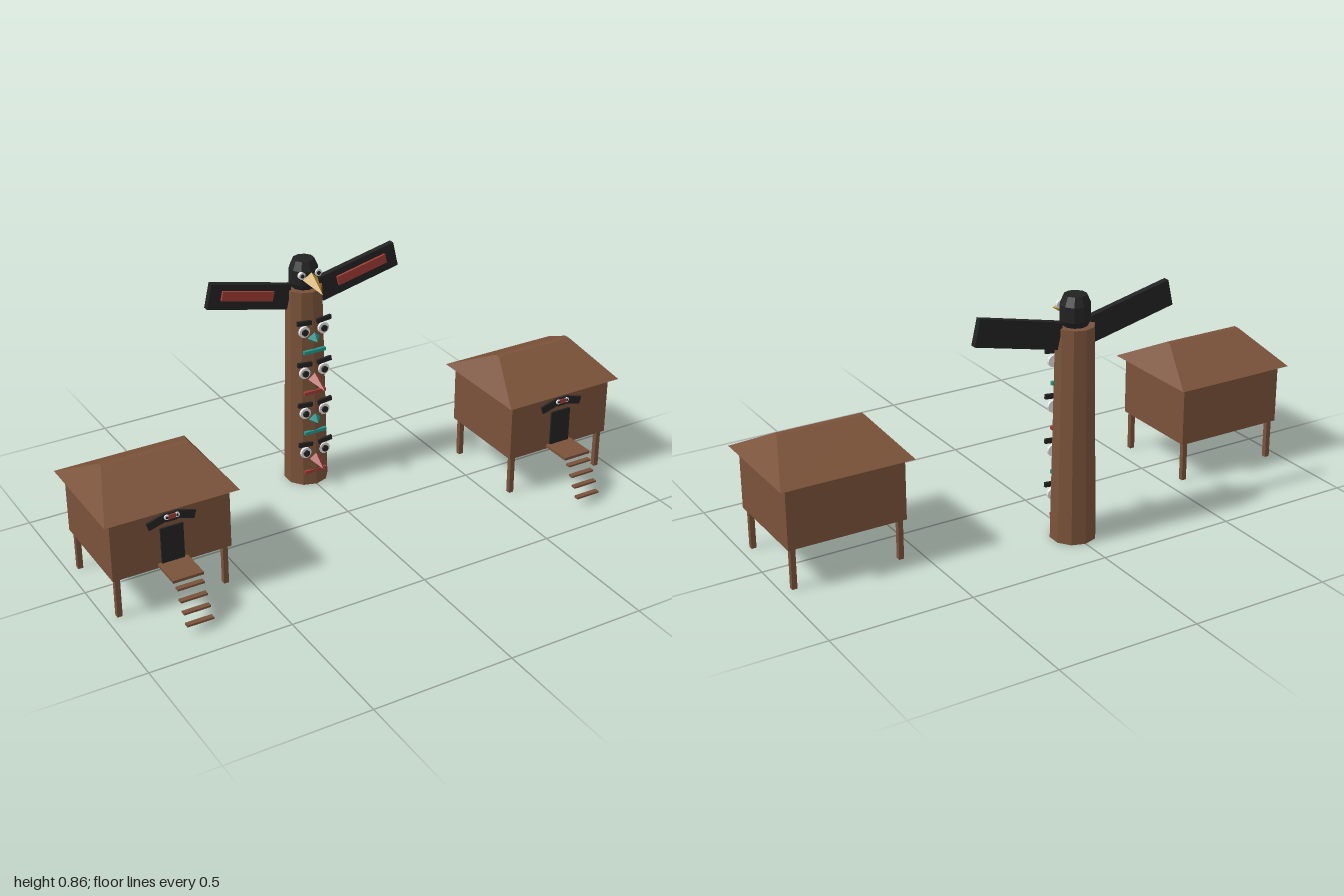
import * as THREE from 'three';

const mat = (name, color) => {
  const m = new THREE.MeshStandardMaterial({ color, flatShading: true });
  m.name = name;
  return m;
};

export function createModel() {
  const wood = mat('wood', 0x7a5239);
  const black = mat('black', 0x222222);
  const red = mat('red', 0xa03c36);
  const teal = mat('teal', 0x1f9a8f);
  const white = mat('white', 0xe4e4e4);
  const yellow = mat('yellow', 0xc49a38);

  const add = (parent, name, geo, material, x, y, z, rz = 0) => {
    const m = new THREE.Mesh(geo, material);
    m.name = name;
    m.position.set(x, y, z);
    m.rotation.z = rz;
    parent.add(m);
    return m;
  };
  const box = (parent, name, material, w, h, d, x, y, z, rz) =>
    add(parent, name, new THREE.BoxGeometry(w, h, d), material, x, y, z, rz);
  const group = (parent, name) => {
    const g = new THREE.Group();
    g.name = name;
    parent.add(g);
    return g;
  };

  // Round plate facing the front
  const disc = (parent, name, material, r, depth, x, y, z) => {
    const geo = new THREE.CylinderGeometry(r, r, depth, 12).rotateX(Math.PI / 2);
    return add(parent, name, geo, material, x, y, z);
  };

  // Four-sided beak from a base centre to a tip, with a ridge on top
  const beak = (parent, material, r, baseY, baseZ, tipY, tipZ) => {
    const len = Math.hypot(tipY - baseY, tipZ - baseZ);
    const geo = new THREE.ConeGeometry(r, len, 4).rotateX(Math.PI / 2);
    const m = add(parent, 'beak', geo, material, 0, (baseY + tipY) / 2, (baseZ + tipZ) / 2);
    m.rotation.x = Math.atan2(baseY - tipY, tipZ - baseZ);
  };

  const model = new THREE.Group();
  model.name = 'totemAndHuts';

  // Totem pole
  const totem = group(model, 'totem');
  totem.position.z = -0.305;
  add(totem, 'pole', new THREE.CylinderGeometry(0.066, 0.08, 0.756, 10), wood, 0, 0.378, 0);

  // Four carved faces, alternating teal and red
  for (let i = 0; i < 4; i++) {
    const face = group(totem, 'face');
    const y = 0.135 + i * 0.16;
    const color = i % 2 ? teal : red;
    for (const s of [-1, 1]) {
      box(face, 'brow', black, 0.056, 0.016, 0.01, s * 0.039, y + 0.035, 0.072, s * 0.1);
      disc(face, 'eye', white, 0.021, 0.01, s * 0.038, y, 0.069);
      disc(face, 'pupil', black, 0.012, 0.007, s * 0.038, y, 0.077);
    }
    const tip = i % 2 ? [-0.038, 0.095] : i === 0 ? [-0.049, 0.13] : [-0.047, 0.145];
    beak(face, color, 0.024, y - 0.029, 0.068, y + tip[0], tip[1]);
    box(face, 'mouth', color, 0.086, 0.012, 0.012, 0, y - 0.08, 0.072);
  }

  // Bird head
  const head = group(totem, 'birdHead');
  const profile = [[0, 0.75], [0.038, 0.75], [0.052, 0.776], [0.052, 0.828], [0.038, 0.86], [0, 0.86]]
    .map(([r, y]) => new THREE.Vector2(r, y));
  add(head, 'skull', new THREE.LatheGeometry(profile, 10), black, 0, 0, 0);
  for (const s of [-1, 1]) {
    disc(head, 'eye', white, 0.013, 0.012, s * 0.032, 0.817, 0.045);
    disc(head, 'pupil', black, 0.007, 0.004, s * 0.032, 0.817, 0.052);
  }
  beak(head, yellow, 0.029, 0.8, 0.048, 0.772, 0.136);

  // Wings with a painted stripe on the front
  for (const s of [-1, 1]) {
    const wing = group(totem, 'wing');
    wing.position.set(s * 0.215, 0.766, 0);
    wing.rotation.z = s * 0.225;
    box(wing, 'wingBoard', black, 0.313, 0.092, 0.022, 0, 0, 0);
    box(wing, 'wingStripe', red, 0.2, 0.034, 0.009, s * 0.012, 0.005, 0.0155);
  }

  // Stilt huts on both sides
  for (const side of [-1, 1]) {
    const hut = group(model, 'hut');
    hut.position.set(side * 0.765, 0, 0.0125);
    box(hut, 'walls', wood, 0.42, 0.22, 0.36, 0, 0.255, 0);

    // Hipped roof: a box whose top is drawn in to the ridge
    const roof = new THREE.BoxGeometry(0.47, 0.102, 0.414);
    const p = roof.attributes.position;
    for (let i = 0; i < p.count; i++) {
      if (p.getY(i) > 0) p.setXYZ(i, p.getX(i) * 0.66, p.getY(i), p.getZ(i) * 0.05);
    }
    roof.computeVertexNormals();
    add(hut, 'roof', roof, wood, 0, 0.415, 0);

    for (const x of [-0.191, 0.191]) {
      for (const z of [-0.1625, 0.1625]) box(hut, 'stilt', wood, 0.018, 0.146, 0.018, x, 0.073, z);
    }

    // Porch and floating steps
    box(hut, 'porch', wood, 0.107, 0.01, 0.116, 0, 0.157, 0.237);
    for (let i = 0; i < 4; i++) {
      box(hut, 'step', wood, 0.094, 0.007, 0.019, 0, 0.033 + i * 0.034, 0.3625 - i * 0.0195);
    }

    // Door and the bird carving above it
    box(hut, 'door', black, 0.08, 0.13, 0.008, 0, 0.226, 0.183);
    const carving = group(hut, 'doorCarving');
    box(carving, 'carvedHead', black, 0.04, 0.03, 0.01, 0, 0.327, 0.184);
    box(carving, 'carvedBeak', red, 0.026, 0.016, 0.006, 0, 0.33, 0.191);
    for (const s of [-1, 1]) {
      box(carving, 'carvedWing', black, 0.068, 0.028, 0.008, s * 0.05, 0.32, 0.184, -s * 0.28);
      disc(carving, 'carvedEye', white, 0.009, 0.005, s * 0.018, 0.331, 0.191);
      disc(carving, 'carvedPupil', black, 0.004, 0.002, s * 0.018, 0.331, 0.1945);
    }
  }

  return model;
}
